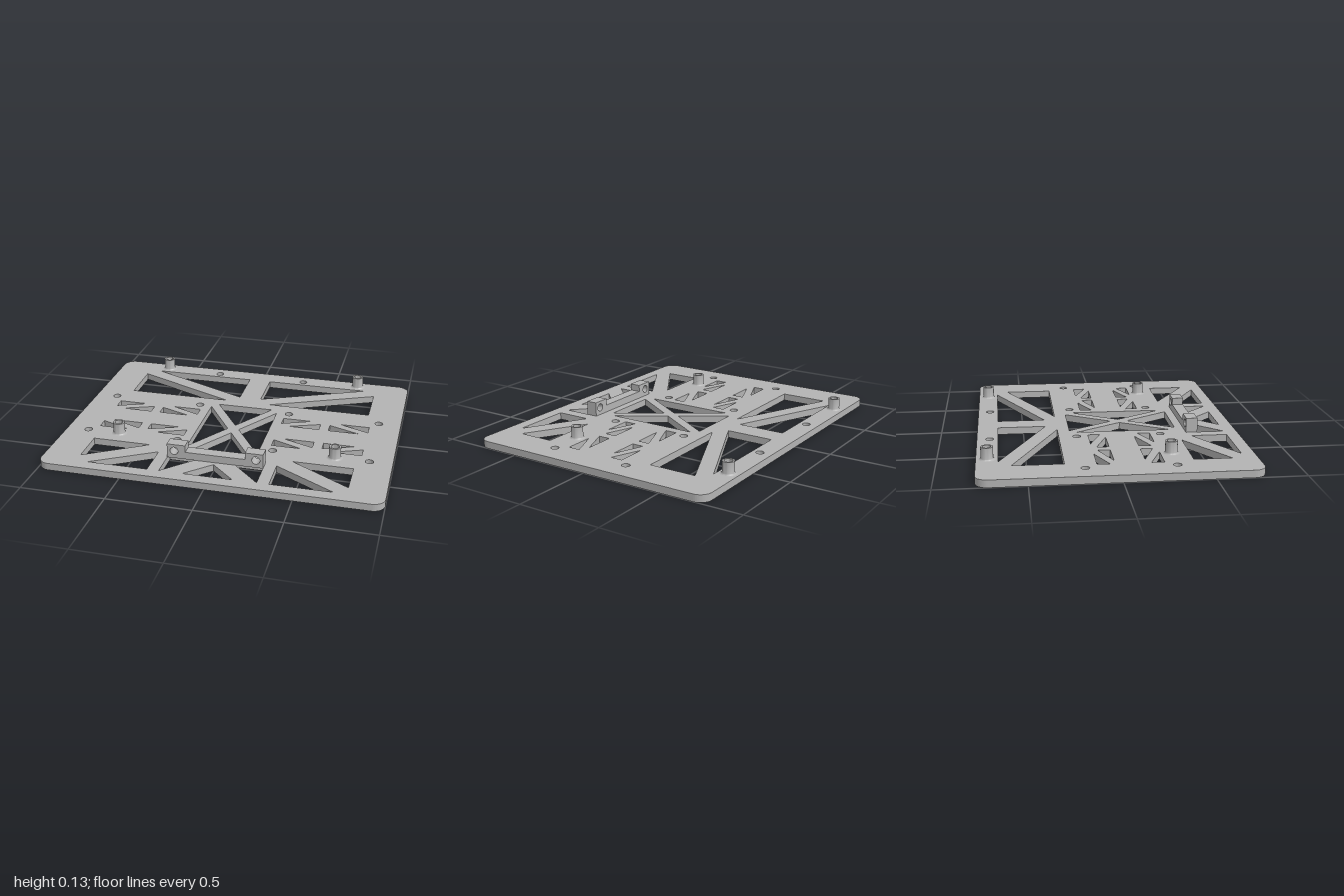
import * as THREE from 'three';
import { toCreasedNormals } from 'three/addons/utils/BufferGeometryUtils.js';

const T = 0.043;      // plate thickness
const HOLE = 0.024;   // screw hole radius

const circle = (x, y, r) => new THREE.Path().absarc(x, y, r, 0, Math.PI * 2, true);

// Polygon opening from [x, z] corners; sx = -1 mirrors it
const opening = (pts, sx = 1) =>
  new THREE.Path(pts.map(([x, z]) => new THREE.Vector2(x * sx, -z)));

function roundedRect(hx, hy, r) {
  const s = new THREE.Shape();
  s.absarc(hx - r, hy - r, r, 0, Math.PI / 2);
  s.absarc(-hx + r, hy - r, r, Math.PI / 2, Math.PI);
  s.absarc(-hx + r, -hy + r, r, Math.PI, Math.PI * 1.5);
  s.absarc(hx - r, -hy + r, r, Math.PI * 1.5, Math.PI * 2);
  s.closePath();
  return s;
}

const extrude = (shape, depth) => toCreasedNormals(
  new THREE.ExtrudeGeometry(shape, { depth, bevelEnabled: false, curveSegments: 16 }), 0.6);

// Truss openings on the left half, mirrored to the right
const sideOpenings = [
  // rear windows
  [[0.715, -0.655], [0.07, -0.655], [0.07, -0.365]],
  [[0.787, -0.585], [0.787, -0.297], [0.145, -0.297]],
  // front windows
  [[0.787, 0.417], [0.433, 0.417], [0.787, 0.635]],
  [[0.355, 0.49], [0.355, 0.703], [0.715, 0.703]],
  // front centre window
  [[0.285, 0.49], [0.075, 0.49], [0.285, 0.703]],
  // centre cross
  [[0.215, -0.183], [0.215, 0.378], [0.035, 0.0975]],
];
// Small slot pairs: outer and inner, rear row and its reflection in front
for (const flip of [false, true]) {
  const z = (v) => (flip ? 0.128 - v : v);
  const [a, b, c, d] = [-0.122, -0.093, -0.05, -0.022].map(z);
  for (const inner of [false, true]) {
    const x = (v) => (inner ? 1.086 - v : v);
    sideOpenings.push([[x(0.813), a], [x(0.635), a], [x(0.813), c]]);
    sideOpenings.push([[x(0.572), b], [x(0.572), d], [x(0.757), d]]);
  }
}
const middleOpenings = [
  [[-0.175, -0.225], [0.175, -0.225], [0, 0.045]],
  [[-0.175, 0.42], [0.175, 0.42], [0, 0.15]],
  [[-0.145, 0.703], [0.145, 0.703], [0, 0.562]],
];
const screwHoles = [[0.294, -0.703], [0.865, -0.19], [0.294, -0.19], [0.865, 0.312], [0.294, 0.312]];
const posts = [[0.663, -0.715], [0.663, 0.313]];

export function createModel() {
  const model = new THREE.Group();
  model.name = 'mountingPlate';
  const grey = new THREE.MeshStandardMaterial({ color: 0xb3b3b3 });
  grey.name = 'grey plastic';
  const add = (name, geometry, x = 0, y = 0, z = 0) => {
    const mesh = new THREE.Mesh(geometry, grey);
    mesh.name = name;
    mesh.position.set(x, y, z);
    model.add(mesh);
    return mesh;
  };

  // Base plate with truss cut-outs and screw holes
  const plate = roundedRect(1, 0.778, 0.07);
  middleOpenings.forEach((p) => plate.holes.push(opening(p)));
  for (const s of [1, -1]) {
    sideOpenings.forEach((p) => plate.holes.push(opening(p, s)));
    [...screwHoles, ...posts].forEach(([x, z]) => plate.holes.push(circle(x * s, -z, HOLE)));
  }
  add('basePlate', extrude(plate, T).rotateX(-Math.PI / 2));

  // Hollow standoffs with a fillet at the foot
  const profile = [];
  const fillet = 0.013;
  for (let i = 0; i <= 5; i++) {
    const a = (i / 5) * Math.PI / 2;
    profile.push(new THREE.Vector2(0.035 + fillet * (1 - Math.sin(a)), T + fillet * (1 - Math.cos(a))));
  }
  profile.push(new THREE.Vector2(0.035, 0.117), new THREE.Vector2(HOLE, 0.117), new THREE.Vector2(HOLE, T));
  const postGeometry = toCreasedNormals(new THREE.LatheGeometry(profile, 32), 0.6);
  for (const s of [1, -1]) {
    posts.forEach(([x, z]) => add('standoff', postGeometry, x * s, 0, z));
  }

  // Cross bar with raised, drilled ends
  const bar = new THREE.Shape([
    [-0.286, T], [0.286, T], [0.286, 0.13], [0.18, 0.13],
    [0.18, 0.088], [-0.176, 0.088], [-0.176, 0.13], [-0.286, 0.13],
  ].map(([x, y]) => new THREE.Vector2(x, y)));
  for (const s of [1, -1]) bar.holes.push(circle(0.243 * s, 0.089, HOLE));
  add('crossBar', extrude(bar, 0.069), 0, 0, 0.47);

  return model;
}
